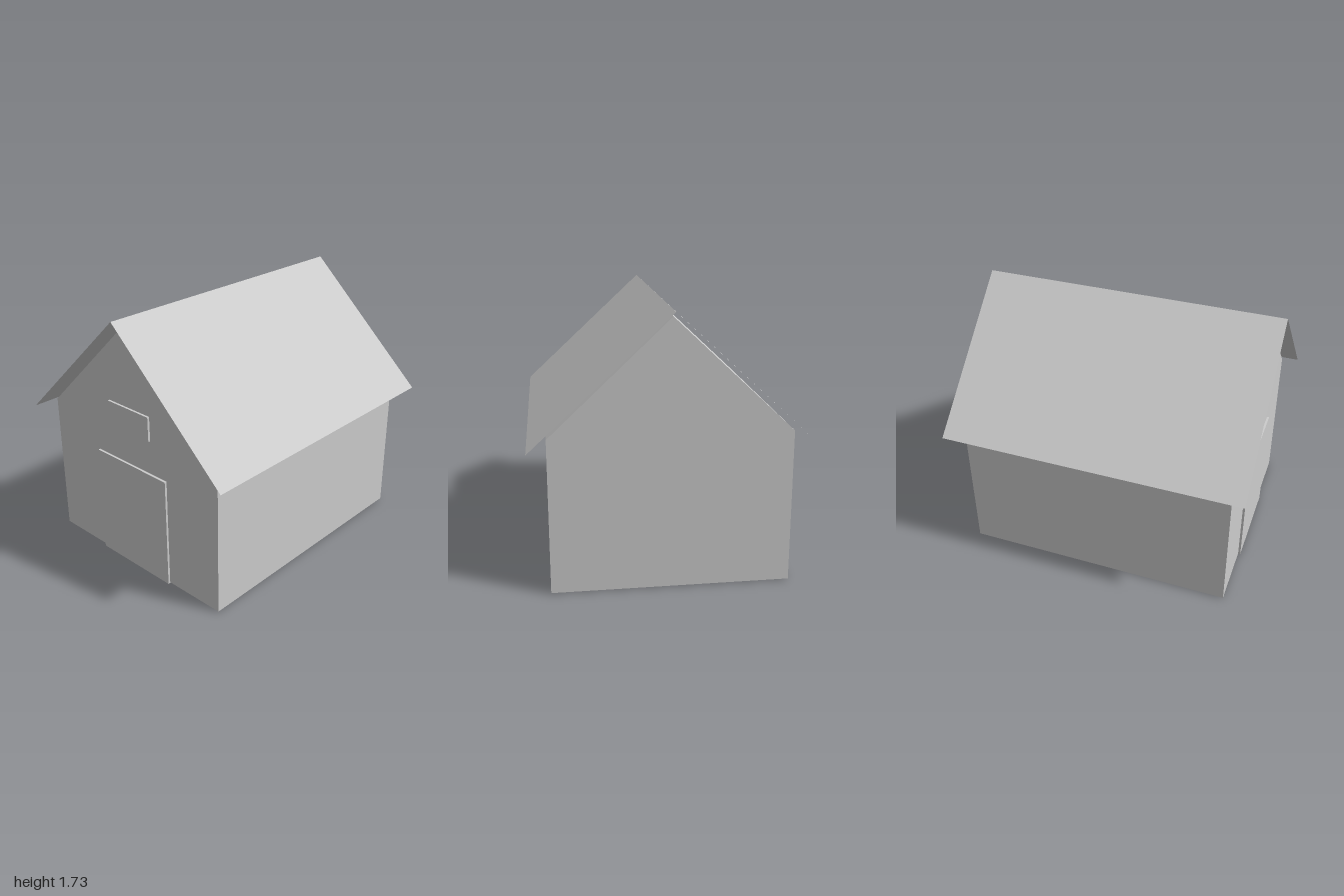
import * as THREE from 'three';

export function createModel() {
  const model = new THREE.Group();
  model.name = 'barn';
  // Double sided because the roof is made of open sheets
  const grey = new THREE.MeshStandardMaterial({ name: 'light grey', color: 0xcccccc, side: THREE.DoubleSide });

  const add = (name, geometry, x, y, z) => {
    const mesh = new THREE.Mesh(geometry, grey);
    mesh.name = name;
    mesh.position.set(x, y, z);
    model.add(mesh);
    return mesh;
  };
  const box = (name, w, bottom, top, d, z) =>
    add(name, new THREE.BoxGeometry(w, top - bottom, d), 0, (bottom + top) / 2, z);

  const halfW = 0.745, halfD = 0.9, wallTop = 0.985, gableTop = 1.69;

  // Walls
  box('walls', halfW * 2, 0.005, wallTop, halfD * 2, 0);

  // Triangular gable block under the roof
  const gable = new THREE.Shape([
    new THREE.Vector2(-halfW, wallTop),
    new THREE.Vector2(halfW, wallTop),
    new THREE.Vector2(0, gableTop),
  ]);
  add('gable', new THREE.ExtrudeGeometry(gable, { depth: halfD * 2, bevelEnabled: false }), 0, 0, -halfD);

  // Roof sheets, overhanging on every side
  const ridge = 1.73, eave = 0.93, eaveX = 0.862;
  const slope = Math.hypot(eaveX, ridge - eave);
  for (const side of [-1, 1]) {
    const sheet = new THREE.PlaneGeometry(slope, 2).rotateX(-Math.PI / 2);
    const mesh = add(side < 0 ? 'rightRoof' : 'leftRoof', sheet, side * eaveX / 2, (ridge + eave) / 2, 0);
    mesh.rotation.z = -side * Math.atan2(ridge - eave, eaveX);
  }

  // Door and loft hatch on the front wall
  box('door', 0.632, 0, 0.755, 0.015, halfD + 0.0075);
  box('loftHatch', 0.366, 0.985, 1.15, 0.015, halfD + 0.0075);

  return model;
}
